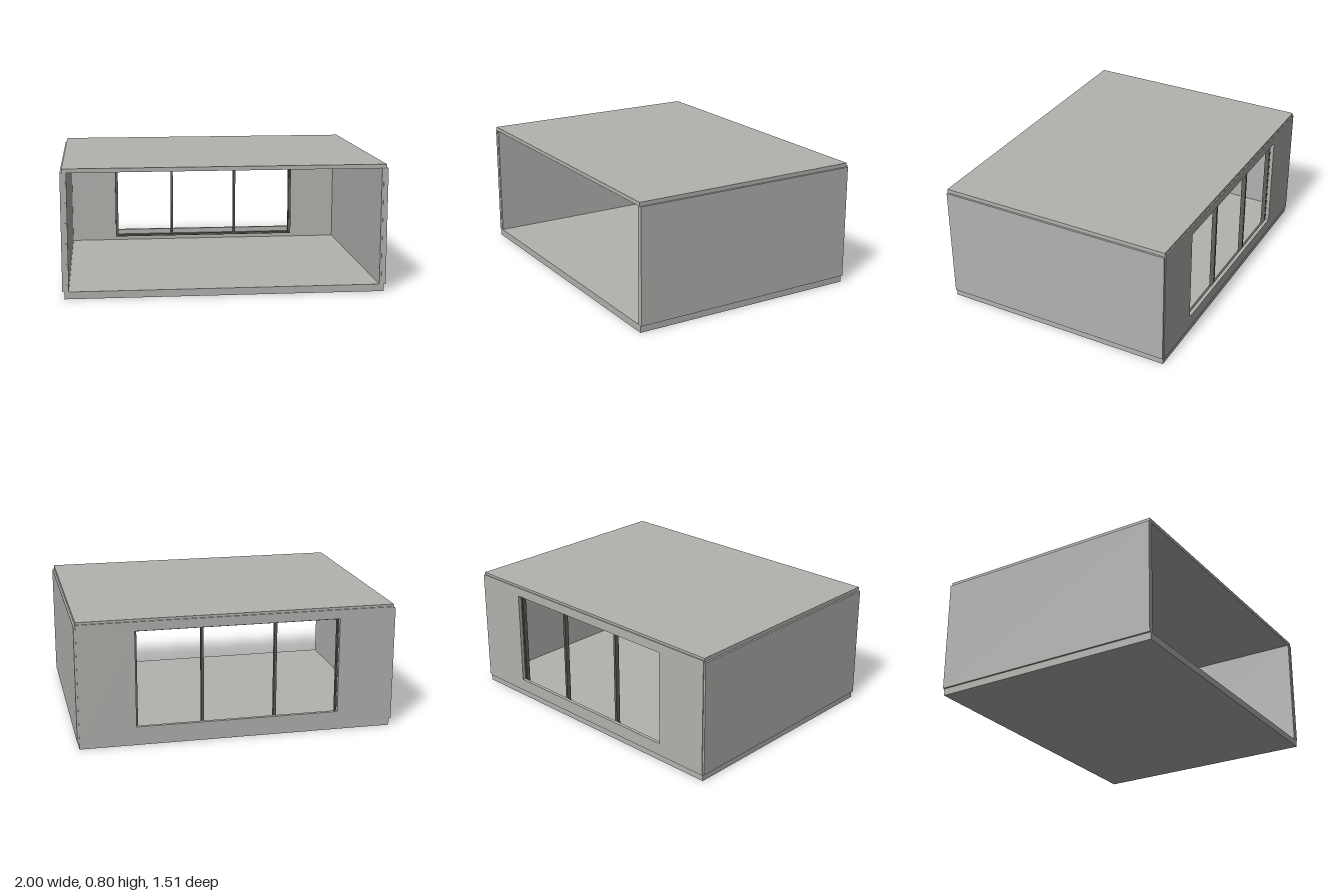
import * as THREE from 'three';

const concrete = new THREE.MeshStandardMaterial({ name: 'warm grey', color: 0xb4b2af });
const metal = new THREE.MeshStandardMaterial({ name: 'dark grey', color: 0x62615d });

// Box given by its lower and upper corners
function box(name, material, [x0, y0, z0], [x1, y1, z1]) {
  const mesh = new THREE.Mesh(new THREE.BoxGeometry(x1 - x0, y1 - y0, z1 - z0), material);
  mesh.position.set((x0 + x1) / 2, (y0 + y1) / 2, (z0 + z1) / 2);
  mesh.name = name;
  return mesh;
}

function rectangle(PathType, x0, y0, x1, y1) {
  const path = new PathType();
  path.moveTo(x0, y0).lineTo(x1, y0).lineTo(x1, y1).lineTo(x0, y1).closePath();
  return path;
}

// Flat panel with one rectangular opening, from z0 to z1
function panelWithOpening(name, material, outer, inner, z0, z1) {
  const shape = rectangle(THREE.Shape, ...outer);
  shape.holes.push(rectangle(THREE.Path, ...inner));
  const geometry = new THREE.ExtrudeGeometry(shape, { depth: z1 - z0, bevelEnabled: false });
  geometry.translate(0, 0, z0);
  const mesh = new THREE.Mesh(geometry, material);
  mesh.name = name;
  return mesh;
}

export function createModel() {
  const model = new THREE.Group();
  model.name = 'roomModule';

  // Floor and roof slabs
  model.add(box('floor', concrete, [-0.988, 0, -0.748], [0.988, 0.045, 0.755]));
  model.add(box('roof', concrete, [-0.988, 0.775, -0.748], [0.988, 0.8, 0.755]));

  // Side walls with a thin inner lining
  for (const [side, s] of [['left', 1], ['right', -1]]) {
    const wall = new THREE.Group();
    wall.name = side + 'Wall';
    const outer = box(side + 'Cladding', concrete, [0.972, 0.045, -0.75], [1, 0.775, 0.755]);
    const lining = box(side + 'Lining', concrete, [0.961, 0.045, -0.74], [0.972, 0.775, 0.752]);
    for (const part of [outer, lining]) {
      part.position.x *= s;
      wall.add(part);
    }
    model.add(wall);
  }

  // Back wall with the window opening
  model.add(panelWithOpening('backWall', concrete,
    [-0.987, 0.04, 0.987, 0.785], [-0.64, 0.12, 0.637, 0.727], -0.755, -0.733));

  // Window frame on the inside of the back wall
  const frame = new THREE.Group();
  frame.name = 'windowFrame';
  frame.add(panelWithOpening('outerFrame', metal,
    [-0.65, 0.075, 0.643, 0.735], [-0.638, 0.083, 0.631, 0.725], -0.733, -0.698));
  frame.add(panelWithOpening('innerFrame', metal,
    [-0.638, 0.083, 0.631, 0.725], [-0.631, 0.088, 0.624, 0.718], -0.728, -0.703));
  for (const x of [-0.238, 0.222]) {
    frame.add(box('mullion', metal, [x - 0.008, 0.086, -0.73], [x + 0.008, 0.722, -0.701]));
  }
  model.add(frame);

  return model;
}
